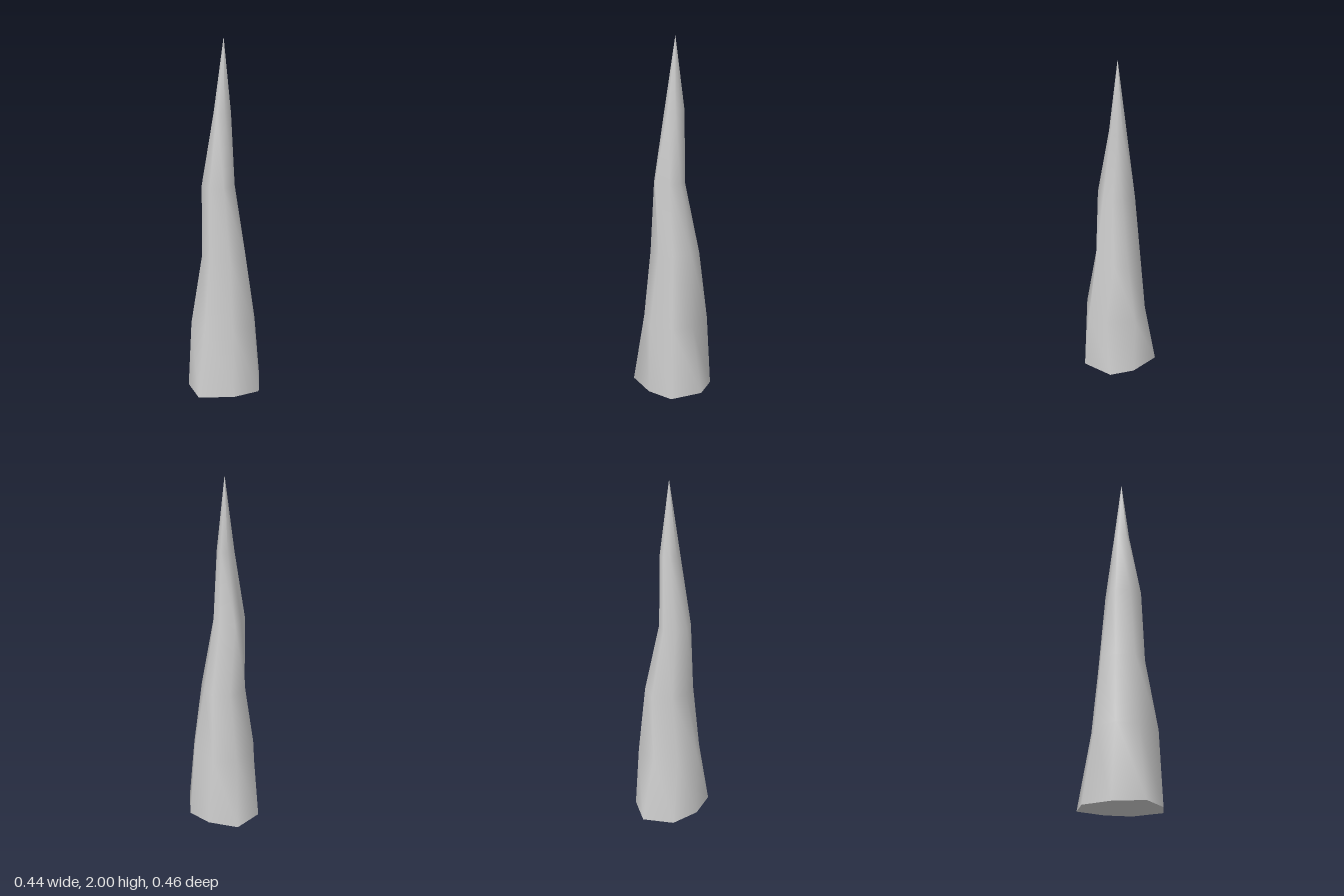
import * as THREE from 'three';

// Eight-sided cross-sections [x, z], starting at the back and turning towards +x
const RINGS = [
  { y: 0.0, pts: [[0, -0.23], [0.145, -0.125], [0.218, 0.008], [0.168, 0.19], [0.01, 0.228], [-0.187, 0.192], [-0.218, 0.022], [-0.165, -0.145]] },
  { y: 0.4, pts: [[-0.02, -0.15], [0.115, -0.122], [0.175, 0.042], [0.14, 0.16], [0.008, 0.213], [-0.14, 0.145], [-0.2, 0.04], [-0.15, -0.088]] },
  { y: 0.8, pts: [[0.01, -0.123], [0.1, -0.072], [0.123, 0.005], [0.1, 0.12], [0.003, 0.147], [-0.105, 0.12], [-0.13, 0.018], [-0.1, -0.073]] },
  { y: 1.2, pts: [[-0.035, -0.073], [0.035, -0.02], [0.055, 0.03], [0.035, 0.09], [-0.03, 0.139], [-0.1, 0.095], [-0.13, 0.018], [-0.088, -0.03]] },
  { y: 1.6, pts: [[-0.005, -0.033], [0.03, -0.02], [0.033, 0.01], [0.03, 0.045], [-0.01, 0.065], [-0.05, 0.058], [-0.06, 0.012], [-0.035, -0.015]] },
  { y: 2.0, pts: Array(8).fill([-0.005, 0.016]) }, // tip
];
const SIDES = 8;

function buildGeometry(rings, index) {
  const g = new THREE.BufferGeometry();
  const positions = rings.flatMap(({ y, pts }) => pts.flatMap(([x, z]) => [x, y, z]));
  g.setAttribute('position', new THREE.Float32BufferAttribute(positions, 3));
  g.setIndex(index);
  g.computeVertexNormals();
  return g;
}

export function createModel() {
  const model = new THREE.Group();
  model.name = 'spike';
  const material = new THREE.MeshStandardMaterial({ color: 0xcccccc });

  // Smooth irregular shaft, skinned ring to ring up to the tip
  const skin = [];
  for (let k = 0; k < RINGS.length - 1; k++) {
    for (let i = 0; i < SIDES; i++) {
      const j = (i + 1) % SIDES;
      const a = k * SIDES + i, b = k * SIDES + j;
      const d = a + SIDES, c = b + SIDES;
      if (k === RINGS.length - 2) skin.push(a, d, b);
      else skin.push(a, d, c, a, c, b);
    }
  }
  const shaft = new THREE.Mesh(buildGeometry(RINGS, skin), material);
  shaft.name = 'shaft';

  // Flat underside
  const fan = [];
  for (let i = 1; i < SIDES - 1; i++) fan.push(0, i, i + 1);
  const base = new THREE.Mesh(buildGeometry([RINGS[0]], fan), material);
  base.name = 'base';

  model.add(shaft, base);
  return model;
}
